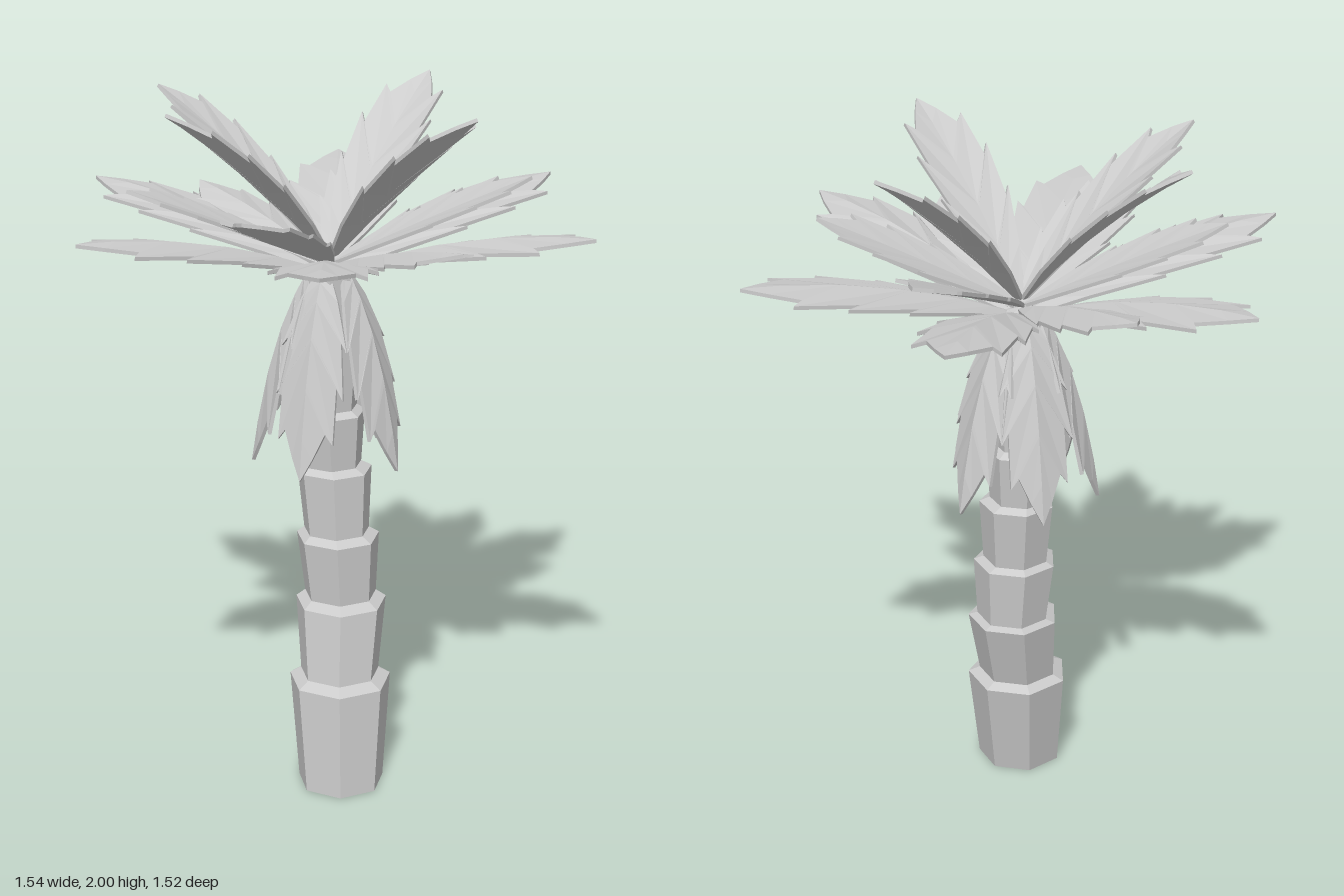
import * as THREE from 'three';

const material = new THREE.MeshStandardMaterial({ color: 0xcccccc, flatShading: true });

// Half outline of a frond: [position on midrib, position on edge, relative half width]
const OUTLINE = [
  [0, 0, 0.14], [0.1, 0.2, 0.55], [0.2, 0.46, 0.97], [0.22, 0.42, 0.8],
  [0.4, 0.68, 1], [0.42, 0.63, 0.8], [0.62, 0.86, 0.82], [0.65, 0.82, 0.6],
  [0.85, 0.92, 0.3], [1, 1, 0],
];

// Serrated leaf, folded along its midrib, swept along a curve of [radius, height] points
function frondGeometry(path, halfWidth, fold, thickness = 0.01) {
  const curve = new THREE.QuadraticBezierCurve(...path.map(([r, y]) => new THREE.Vector2(r, y)));
  const point = (t, w, drop) => {
    const p = curve.getPoint(t), d = curve.getTangent(t);
    const lift = Math.abs(w) * fold - drop;
    return [p.x - d.y * lift, p.y + d.x * lift, w];
  };
  const positions = [];
  const quad = (a, b, c, d) => positions.push(...a, ...b, ...c, ...a, ...c, ...d);
  for (const side of [1, -1]) {
    const face = (a, b, c, d) => (side > 0 ? quad(a, b, c, d) : quad(a, d, c, b));
    for (let i = 0; i < OUTLINE.length - 1; i++) {
      const [r0, e0, w0] = OUTLINE[i], [r1, e1, w1] = OUTLINE[i + 1];
      const layer = (drop) => [
        point(r0, 0, drop), point(e0, side * w0 * halfWidth, drop),
        point(e1, side * w1 * halfWidth, drop), point(r1, 0, drop),
      ];
      const top = layer(0), under = layer(thickness);
      face(...top);
      face(under[3], under[2], under[1], under[0]);
      face(top[1], under[1], under[2], top[2]);
    }
  }
  const geometry = new THREE.BufferGeometry();
  geometry.setAttribute('position', new THREE.Float32BufferAttribute(positions, 3));
  geometry.computeVertexNormals();
  return geometry;
}

function frondRing(name, angles, path, halfWidth, fold) {
  const ring = new THREE.Group();
  ring.name = name;
  const geometry = frondGeometry(path, halfWidth, fold);
  for (const angle of angles) {
    const frond = new THREE.Mesh(geometry, material);
    frond.name = 'frond';
    frond.rotation.y = -THREE.MathUtils.degToRad(angle);
    ring.add(frond);
  }
  return ring;
}

// Seven-sided band leaning from one ring to the next: [x, y, z, radius] at each end
function trunkBand([x0, y0, z0, r0], [x1, y1, z1, r1]) {
  const h = y1 - y0;
  const geometry = new THREE.CylinderGeometry(r1, r0, h, 7, 1, true);
  geometry.rotateY(0.29).translate(0, h / 2, 0);
  const p = geometry.attributes.position;
  for (let i = 0; i < p.count; i++) {
    const t = p.getY(i) / h;
    p.setXYZ(i, p.getX(i) + x0 + (x1 - x0) * t, p.getY(i) + y0, p.getZ(i) + z0 + (z1 - z0) * t);
  }
  geometry.computeVertexNormals();
  const mesh = new THREE.Mesh(geometry, material);
  mesh.name = 'trunkBand';
  return mesh;
}

export function createModel() {
  const palm = new THREE.Group();
  palm.name = 'palmTree';

  // Trunk rings: a hollow foot, then flared segments each closed by a sloping ledge
  const trunk = new THREE.Group();
  trunk.name = 'trunk';
  const rings = [
    [0.07, 0, 0.12, 0.09], [0.07, 0.001, 0.12, 0.126],
    [0.055, 0.31, 0.08, 0.15], [0.052, 0.328, 0.075, 0.116],
    [0.042, 0.535, 0.03, 0.134], [0.036, 0.55, 0.016, 0.106],
    [0.028, 0.73, 0.016, 0.122], [0.022, 0.745, 0.01, 0.096],
    [0.012, 0.93, 0, 0.11], [0.005, 0.945, 0, 0.086],
    [-0.003, 1.1, 0, 0.104], [-0.003, 1.115, 0, 0.08],
    [-0.003, 1.31, 0, 0.095], [0, 1.325, 0, 0.068],
    [0, 1.51, 0, 0.072], [0, 1.525, 0, 0.01],
  ];
  for (let i = 0; i < rings.length - 1; i++) trunk.add(trunkBand(rings[i], rings[i + 1]));
  palm.add(trunk);

  // Crown, from the hanging skirt up to the young upright fronds
  palm.add(
    frondRing('hangingFronds', [15, 95, 157, 225, 291],
      [[0.05, 1.53], [0.17, 1.36], [0.225, 0.96]], 0.1, -0.3),
    frondRing('longFronds', [12.4, 74.5, 128, 192.4, 254.5, 308],
      [[0.01, 1.51], [0.4, 1.68], [0.79, 1.695]], 0.14, -0.15),
    frondRing('middleFronds', [96, 150, 270, 337],
      [[0.01, 1.54], [0.3, 1.67], [0.56, 1.765]], 0.12, 0.1),
    frondRing('lowMiddleFronds', [37, 211],
      [[0.01, 1.53], [0.3, 1.64], [0.58, 1.675]], 0.12, -0.2),
    frondRing('uprightFronds', [25.6, 128.7, 183, 287],
      [[0.01, 1.56], [0.24, 1.83], [0.51, 2]], 0.115, 0.15),
  );
  return palm;
}
